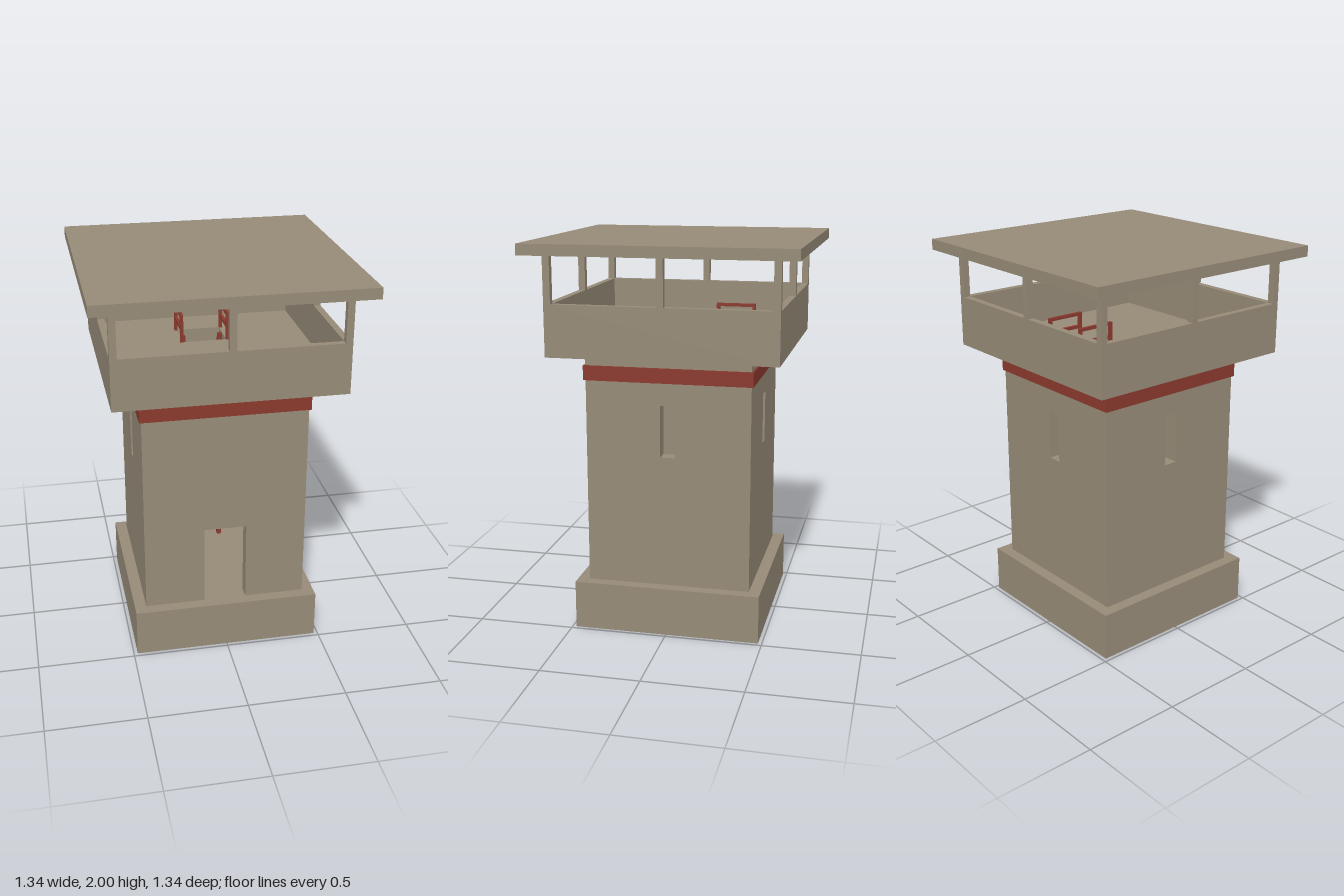
import * as THREE from 'three';

const stone = new THREE.MeshStandardMaterial({ color: 0x968b78 });
stone.name = 'stone';
const red = new THREE.MeshStandardMaterial({ color: 0x8b3a2e });
red.name = 'red paint';

export function createModel() {
  const tower = new THREE.Group();
  tower.name = 'watchtower';

  function add(name, geometry, material = stone) {
    const mesh = new THREE.Mesh(geometry, material);
    mesh.name = name;
    tower.add(mesh);
    return mesh;
  }

  // Box given by its limits on each axis
  function box(name, x0, x1, y0, y1, z0, z1, material) {
    const mesh = add(name, new THREE.BoxGeometry(x1 - x0, y1 - y0, z1 - z0), material);
    mesh.position.set((x0 + x1) / 2, (y0 + y1) / 2, (z0 + z1) / 2);
    return mesh;
  }

  function rectangle(Type, x0, x1, y0, y1) {
    return new Type([[x0, y0], [x1, y0], [x1, y1], [x0, y1]].map(p => new THREE.Vector2(...p)));
  }

  const extrude = (shape, depth) => new THREE.ExtrudeGeometry(shape, { depth, bevelEnabled: false });

  // Horizontal slab with a rectangular hole, in x and z
  function holedSlab(name, half, y0, y1, [x0, x1, z0, z1], material) {
    const shape = rectangle(THREE.Shape, -half, half, -half, half);
    shape.holes.push(rectangle(THREE.Path, x0, x1, -z1, -z0));
    const mesh = add(name, extrude(shape, y1 - y0).rotateX(-Math.PI / 2), material);
    mesh.position.y = y0;
  }

  const wall = 0.42, thick = 0.07, base = 0.25, deck = 1.445, floor = 1.49;

  // Solid plinth
  box('plinth', -0.48, 0.48, 0, base, -0.48, 0.48);

  // Front wall with an open doorway
  const front = new THREE.Shape([
    [-wall, base], [-0.11, base], [-0.11, 0.675], [0.11, 0.675],
    [0.11, base], [wall, base], [wall, deck], [-wall, deck],
  ].map(p => new THREE.Vector2(...p)));
  add('frontWall', extrude(front, thick)).position.z = wall - thick;

  // Back and side walls with slit windows
  function slitWall(name, half, angle) {
    const shape = rectangle(THREE.Shape, -half, half, base, deck);
    shape.holes.push(rectangle(THREE.Path, -0.038, 0.038, 0.93, 1.195));
    const geometry = extrude(shape, thick).translate(0, 0, wall - thick);
    add(name, geometry.rotateY(angle));
  }
  slitWall('backWall', wall, Math.PI);
  slitWall('leftWall', wall - thick, Math.PI / 2);
  slitWall('rightWall', wall - thick, -Math.PI / 2);

  // Painted band around the tower
  const b = wall - 0.01;
  holedSlab('band', 0.43, 1.31, 1.385, [-b, b, -b, b], red);

  // Lookout floor with a hatch, and its parapet
  const outer = 0.575, inner = 0.54;
  holedSlab('lookoutFloor', inner, deck, floor, [-0.115, 0.115, -0.34, -0.15]);
  holedSlab('parapet', outer, deck, 1.705, [-inner, inner, -inner, inner]);

  // Posts at the corners and halfway along each side
  const mid = (outer + inner) / 2, r = (outer - inner) / 2;
  for (const i of [-1, 0, 1]) for (const j of [-1, 0, 1]) {
    if (!i && !j) continue;
    box('roofPost', i * mid - r, i * mid + r, 1.705, 1.95, j * mid - r, j * mid + r);
  }

  // Flat roof
  box('roof', -0.67, 0.67, 1.945, 2, -0.67, 0.67);

  // Railings on both sides of the hatch
  const t = 0.008;
  for (const s of [-1, 1]) {
    const x = s * 0.122;
    for (const z of [-0.34, -0.15]) box('railingPost', x - t, x + t, floor, 1.64, z - t, z + t, red);
    for (const y of [1.565, 1.632]) box('railingBar', x - t, x + t, y - t, y + t, -0.34, -0.15, red);
  }

  // Ladder from the ground up to the hatch
  for (const s of [-1, 1]) {
    box('ladderRail', s * 0.1 - 0.012, s * 0.1 + 0.012, base, floor, -0.262, -0.238, red);
  }
  for (let y = 0.34; y < 1.45; y += 0.1) {
    box('ladderRung', -0.09, 0.09, y - t, y + t, -0.25 - t, -0.25 + t, red);
  }

  return tower;
}
